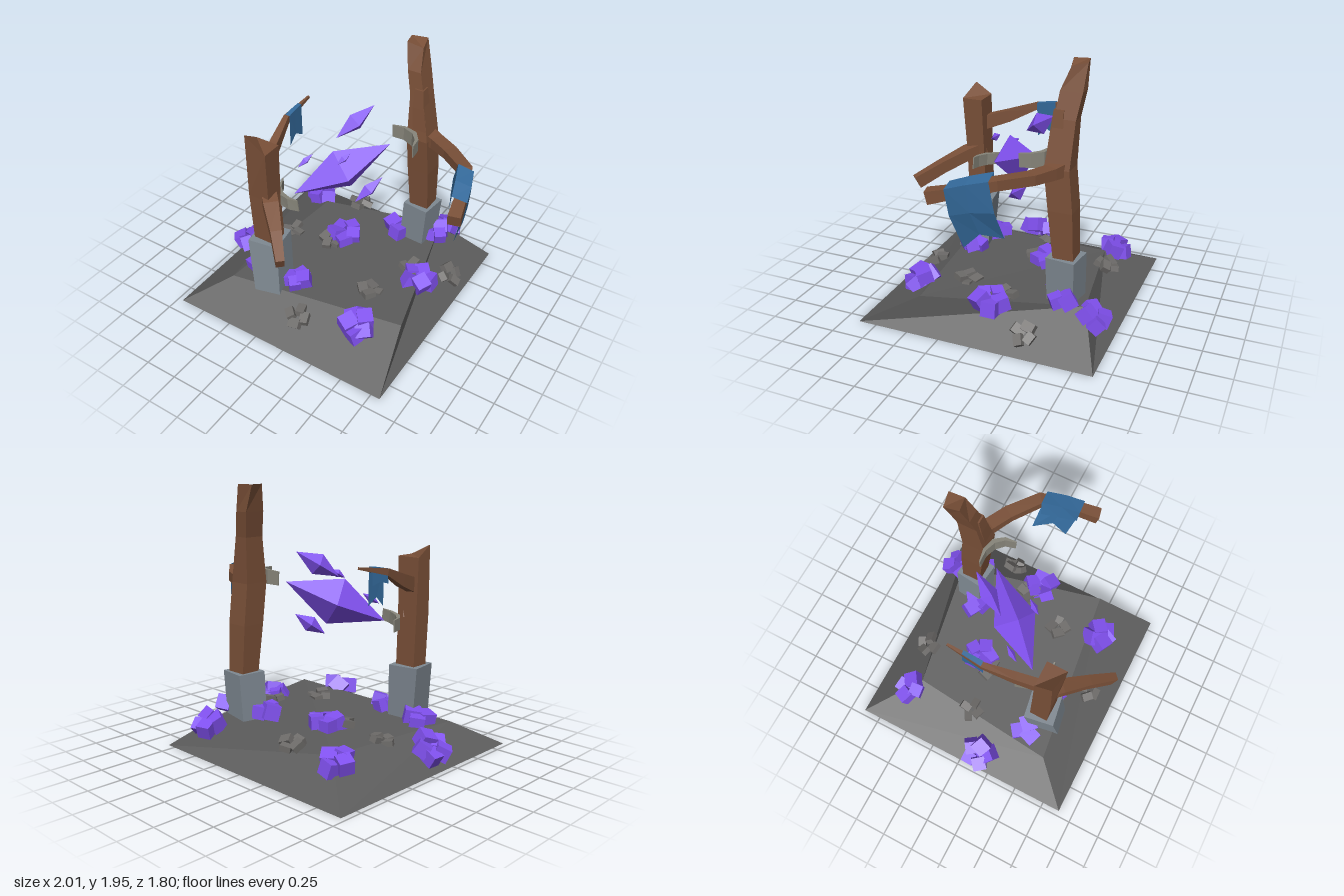
import * as THREE from 'three';

const mat = (color, side = THREE.FrontSide) =>
  new THREE.MeshStandardMaterial({ color, flatShading: true, side });
const WOOD = mat(0x7a5038), STONE = mat(0x7f8992), EARTH = mat(0x5c5c5c), ROCK = mat(0x6e6c6a);
const GEM = mat(0x8050ee), METAL = mat(0x87857a), CLOTH = mat(0x33699a, THREE.DoubleSide);
const V = (x, y, z) => new THREE.Vector3(x, y, z);

let seed = 7;
const rnd = () => (seed = (seed * 16807) % 2147483647) / 2147483647;
const spread = (s) => (rnd() - 0.5) * 2 * s;

function named(geometry, material, name) {
  const mesh = new THREE.Mesh(geometry, material);
  mesh.name = name;
  return mesh;
}

function fromTriangles(points) {
  const g = new THREE.BufferGeometry().setFromPoints(points);
  g.computeVertexNormals();
  return g;
}

// Closed solid through four-cornered sections
function loft(rings) {
  const t = [], last = rings[rings.length - 1], first = rings[0];
  for (let i = 0; i < rings.length - 1; i++) {
    const a = rings[i], b = rings[i + 1];
    for (let j = 0; j < 4; j++) {
      const k = (j + 1) % 4;
      t.push(a[j], a[k], b[k], a[j], b[k], b[j]);
    }
  }
  t.push(last[0], last[1], last[2], last[0], last[2], last[3]);
  t.push(first[2], first[1], first[0], first[3], first[2], first[0]);
  return fromTriangles(t);
}

// Upright section: centre, half sizes and turn
function section(x, y, z, w, d, yaw = 0) {
  return [[1, 1], [1, -1], [-1, -1], [-1, 1]].map(([sx, sz]) =>
    V(sx * w, 0, sz * d).applyAxisAngle(V(0, 1, 0), yaw).add(V(x, y, z)));
}

// Bar along a path of [x, y, z, half width, half height]
function bar(path) {
  const p = path.map((q) => V(q[0], q[1], q[2]));
  return loft(path.map((q, i) => {
    const t = p[Math.min(i + 1, p.length - 1)].clone().sub(p[Math.max(i - 1, 0)]).normalize();
    const u = t.clone().cross(V(0, 1, 0)).normalize();
    const v = t.clone().cross(u);
    return [[1, 1], [-1, 1], [-1, -1], [1, -1]].map(([a, b]) =>
      p[i].clone().addScaledVector(u, a * q[3]).addScaledVector(v, b * q[4]));
  }));
}

// Cloth patch from rows of points
function cloth(rows) {
  const t = [];
  for (let i = 0; i < rows.length - 1; i++) {
    for (let j = 0; j < rows[i].length - 1; j++) {
      const [a, b, c, d] = [rows[i][j], rows[i][j + 1], rows[i + 1][j + 1], rows[i + 1][j]].map((q) => V(...q));
      t.push(a, d, c, a, c, b);
    }
  }
  return fromTriangles(t);
}

// Double-pointed shard from tip to tip
function shard(a, b, w, h, name) {
  const from = V(...a), to = V(...b);
  const t = to.clone().sub(from), len = t.length();
  t.normalize();
  const u = t.clone().cross(V(0, 1, 0)).normalize();
  const v = t.clone().cross(u);
  const mesh = named(new THREE.OctahedronGeometry(1), GEM, name);
  mesh.quaternion.setFromRotationMatrix(new THREE.Matrix4().makeBasis(u, v, t));
  mesh.scale.set(w, h, len / 2);
  mesh.position.copy(from).add(to).multiplyScalar(0.5);
  return mesh;
}

// Heap of tilted blocks lying on a slope (rise per unit of x and z)
function heap(name, material, [x, y, z], count, radius, size, flat, slopeX = 0, slopeZ = 0) {
  const g = new THREE.Group();
  g.name = name;
  g.position.set(x, y, z);
  g.rotation.set(-Math.atan(slopeZ), 0, Math.atan(slopeX));
  const start = rnd() * 6.28;
  for (let i = 0; i < count; i++) {
    const a = start + (i / count) * Math.PI * 2, s = size * (0.88 + rnd() * 0.24);
    const m = named(new THREE.BoxGeometry(s, s * flat, s * (flat < 1 ? 0.75 : 1)), material, name + 'Block');
    m.position.set(Math.cos(a) * radius, spread(0.02), Math.sin(a) * radius);
    m.rotation.set(spread(0.3), rnd() * 3, spread(0.3));
    g.add(m);
  }
  return g;
}

export function createModel() {
  const model = new THREE.Group();
  const add = (geometry, material, name) => model.add(named(geometry, material, name));

  // Sloped mound
  add(loft([
    section(-0.07, 0, 0, 0.89, 0.89),
    [V(0.72, 0.26, 0.43), V(0.44, 0.28, -0.71), V(-0.56, 0.2, -0.55), V(-0.67, 0.18, 0.6)],
  ]), EARTH, 'ground');

  // Stone footings
  add(loft([section(-0.36, 0.15, 0.485, 0.105, 0.118, 0.16), section(-0.405, 0.605, 0.45, 0.118, 0.115, 0.16)]),
    STONE, 'leftFooting');
  add(loft([section(0.325, 0.18, -0.53, 0.105, 0.1, -0.12), section(0.355, 0.6, -0.53, 0.105, 0.108, -0.12)]),
    STONE, 'rightFooting');

  // Short post with a slanted broken top
  const cap = section(-0.405, 1.415, 0.48, 0.095, 0.078);
  cap[3].set(-0.5, 1.5, 0.53);
  add(loft([section(-0.405, 0.55, 0.45, 0.083, 0.07), section(-0.41, 1.0, 0.465, 0.085, 0.072), cap]),
    WOOD, 'leftPost');

  // Tall bent post with a splintered side
  const tip = section(0.22, 1.95, -0.555, 0.06, 0.055, 0.2);
  tip[0].y = 1.92;
  add(loft([
    section(0.355, 0.55, -0.535, 0.075, 0.072), section(0.35, 0.95, -0.505, 0.085, 0.087),
    section(0.345, 1.25, -0.472, 0.082, 0.09), section(0.305, 1.58, -0.5, 0.055, 0.075),
    section(0.262, 1.76, -0.525, 0.052, 0.078), tip,
  ]), WOOD, 'rightPost');
  add(loft([
    section(0.36, 1.3, -0.44, 0.055, 0.05), section(0.33, 1.5, -0.45, 0.045, 0.045),
    section(0.32, 1.64, -0.455, 0.035, 0.035),
  ]), WOOD, 'rightPostSplinter');

  // Branches
  add(bar([
    [-0.41, 1.01, 0.43, 0.055, 0.045], [-0.31, 0.975, 0.53, 0.055, 0.045],
    [-0.16, 0.89, 0.68, 0.04, 0.045], [-0.02, 0.79, 0.83, 0.03, 0.05],
  ]), WOOD, 'leftFrontBranch');
  add(bar([
    [-0.42, 1.2, 0.45, 0.035, 0.055], [-0.47, 1.27, 0.24, 0.03, 0.045],
    [-0.52, 1.36, 0.02, 0.02, 0.025], [-0.51, 1.41, -0.25, 0.008, 0.008],
  ]), WOOD, 'leftBackBranch');
  add(bar([
    [0.34, 1.25, -0.5, 0.06, 0.05], [0.47, 1.245, -0.45, 0.05, 0.04], [0.62, 1.25, -0.37, 0.05, 0.035],
    [0.82, 1.265, -0.21, 0.045, 0.035], [0.9, 1.215, 0, 0.04, 0.035], [0.95, 1.165, 0.21, 0.045, 0.045],
  ]), WOOD, 'rightBranch');

  // Curved metal hooks on the posts
  add(bar([
    [0.155, 1.28, -0.36, 0.004, 0.05], [0.25, 1.285, -0.37, 0.012, 0.052], [0.34, 1.28, -0.345, 0.018, 0.055],
    [0.395, 1.28, -0.28, 0.013, 0.052], [0.41, 1.275, -0.2, 0.004, 0.05],
  ]), METAL, 'rightHook');
  add(bar([
    [-0.43, 0.93, 0.22, 0.004, 0.045], [-0.395, 0.93, 0.31, 0.012, 0.045], [-0.33, 0.935, 0.38, 0.018, 0.045],
    [-0.24, 0.945, 0.41, 0.013, 0.045], [-0.16, 0.955, 0.41, 0.004, 0.045],
  ]), METAL, 'leftHook');

  // Forked banners draped over the branches
  add(cloth([
    [[0.85, 1.14, 0.08], [0.8, 1.17, -0.04], [0.75, 1.2, -0.17]],
    [[0.865, 1.255, 0.09], [0.825, 1.295, -0.04], [0.775, 1.325, -0.18]],
    [[0.975, 1.24, 0.08], [0.94, 1.275, -0.05], [0.89, 1.3, -0.19]],
    [[0.95, 1.05, 0.06], [0.92, 1.08, -0.07], [0.87, 1.08, -0.22]],
    [[0.87, 0.8, 0], [0.86, 0.91, -0.11], [0.78, 0.87, -0.25]],
  ]), CLOTH, 'rightBanner');
  add(cloth([
    [[-0.54, 1.28, 0.02], [-0.535, 1.3, -0.055], [-0.53, 1.28, -0.13]],
    [[-0.535, 1.385, 0.02], [-0.53, 1.4, -0.055], [-0.525, 1.41, -0.13]],
    [[-0.495, 1.385, 0.02], [-0.495, 1.4, -0.055], [-0.495, 1.41, -0.13]],
    [[-0.505, 1.12, 0.01], [-0.5, 1.19, -0.055], [-0.5, 1.14, -0.14]],
  ]), CLOTH, 'leftBanner');

  // Floating crystals
  model.add(
    shard([-0.28, 0.94, 0.29], [0.2, 1.24, -0.25], 0.16, 0.18, 'largeCrystal'),
    shard([-0.13, 1.29, -0.04], [0.025, 1.48, -0.31], 0.065, 0.08, 'upperCrystal'),
    shard([0.07, 0.83, 0.02], [0.19, 0.99, -0.17], 0.05, 0.06, 'lowerCrystal'),
    shard([-0.32, 1.09, 0.18], [-0.26, 1.17, 0.07], 0.025, 0.03, 'leftSmallCrystal'),
    shard([0.015, 1.24, 0.18], [0.075, 1.31, 0.08], 0.025, 0.03, 'rightSmallCrystal'),
  );

  // Crystal heaps: x, y, z, count, radius, size, slopes
  for (const [x, y, z, n, r, s, sx, sz] of [
    [-0.66, 0.2, -0.61, 4, 0.065, 0.1, 0.2, 0.2], [-0.865, 0.145, 0.12, 5, 0.075, 0.11, 0.6, 0],
    [-0.17, 0.255, -0.22, 5, 0.075, 0.1, 0, 0], [0.47, 0.23, -0.78, 4, 0.065, 0.105, 0, 0.7],
    [0.59, 0.27, -0.06, 5, 0.075, 0.1, -0.1, 0], [0.44, 0.24, 0.57, 5, 0.065, 0.11, 0, -0.5],
    [-0.54, 0.22, 0.38, 3, 0.055, 0.11, 0.1, 0], [-0.18, 0.26, 0.43, 4, 0.055, 0.095, 0, 0],
    [0.19, 0.32, -0.46, 3, 0.05, 0.11, 0, 0], [0.49, 0.32, -0.55, 3, 0.045, 0.1, 0, 0],
  ]) model.add(heap('crystalHeap', GEM, [x, y, z], n, r, s, 1, sx, sz));

  // Loose rubble: x, y, z, slopes
  for (const [x, y, z, sx, sz] of [
    [-0.28, 0.23, -0.65, 0, 0.4], [-0.59, 0.2, -0.08, 0.1, 0], [-0.23, 0.23, -0.11, 0, 0],
    [0.5, 0.27, -0.12, 0, 0], [0.72, 0.14, -0.36, -1, 0], [0.34, 0.25, 0.23, 0, 0], [-0.01, 0.17, 0.68, 0, -0.5],
  ]) model.add(heap('rubble', ROCK, [x, y, z], 4, 0.055, 0.085, 0.55, sx, sz));

  return model;
}
